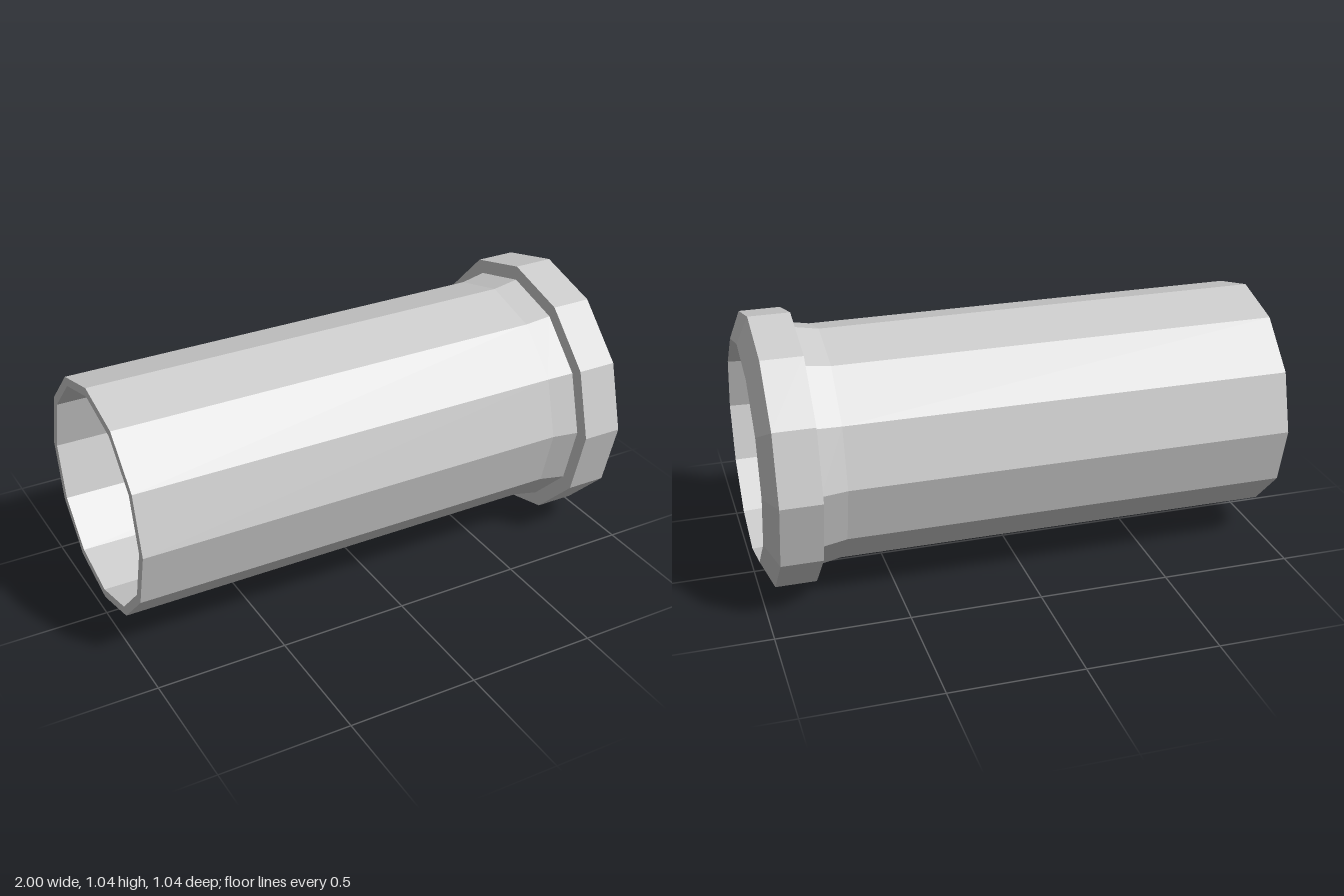
import * as THREE from 'three';

const SIDES = 12;
const RADIUS = 0.52;

export function createModel() {
  const group = new THREE.Group();
  group.name = 'pipe';

  const material = new THREE.MeshStandardMaterial({ color: 0xcccccc, flatShading: true });

  // Closed wall profile as [radius, position along the pipe]
  const profile = [
    [0.412, -1], [0.446, -1],                // plain end rim
    [0.446, 0.7], [0.464, 0.8],              // barrel and flare
    [RADIUS, 0.8], [RADIUS, 0.955],          // collar
    [0.42, 1],                               // collar bevel
    [0.412, 0.86], [0.412, -1],              // socket mouth and bore
  ].map(([r, y]) => new THREE.Vector2(r, y));

  // Spin the profile, then lay the pipe along x
  const geometry = new THREE.LatheGeometry(profile, SIDES);
  geometry.rotateZ(-Math.PI / 2);
  geometry.translate(0, RADIUS, 0);

  const pipe = new THREE.Mesh(geometry, material);
  pipe.name = 'pipeWithCollar';
  group.add(pipe);
  return group;
}
